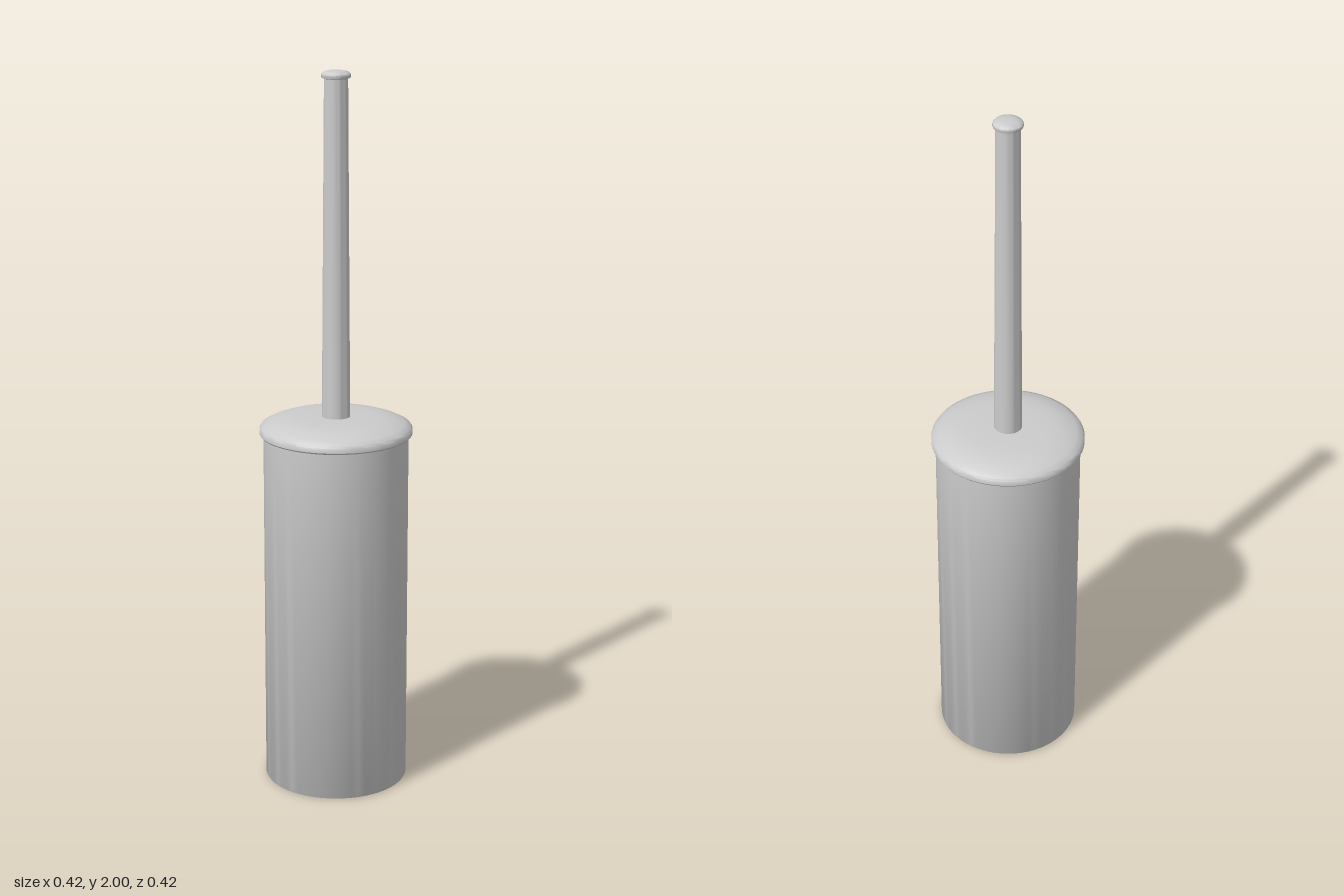
import * as THREE from 'three';
import { toCreasedNormals } from 'three/addons/utils/BufferGeometryUtils.js';

const material = new THREE.MeshStandardMaterial({ color: 0xcccccc });

// Turns a [radius, height] profile, listed from bottom to top, into a round part.
function turned(name, profile, segments) {
  const points = profile.map(([r, y]) => new THREE.Vector2(r, y));
  const geometry = toCreasedNormals(new THREE.LatheGeometry(points, segments), Math.PI / 5);
  const mesh = new THREE.Mesh(geometry, material);
  mesh.name = name;
  return mesh;
}

export function createModel() {
  const model = new THREE.Group();
  model.name = 'toiletBrush';

  // Straight canister with a closed base
  model.add(turned('canister', [[0, 0], [0.198, 0], [0.2, 0.003], [0.2, 1.01], [0, 1.01]], 64));

  // Overhanging lid with a thin rim and a shallow domed top
  model.add(turned('lid', [
    [0, 1.005], [0.208, 1.005], [0.211, 1.009], [0.211, 1.022], [0.207, 1.028],
    [0.19, 1.037], [0.168, 1.045], [0.142, 1.051], [0.11, 1.054], [0.06, 1.055], [0, 1.055],
  ], 64));

  // Slightly tapered handle
  model.add(turned('handle', [[0.039, 1.045], [0.032, 1.982]], 32));

  // Flanged knob with a gently rounded top
  model.add(turned('handleCap', [
    [0, 1.978], [0.032, 1.978], [0.038, 1.98], [0.04, 1.985], [0.039, 1.991],
    [0.034, 1.996], [0.02, 1.999], [0, 2],
  ], 32));

  return model;
}
